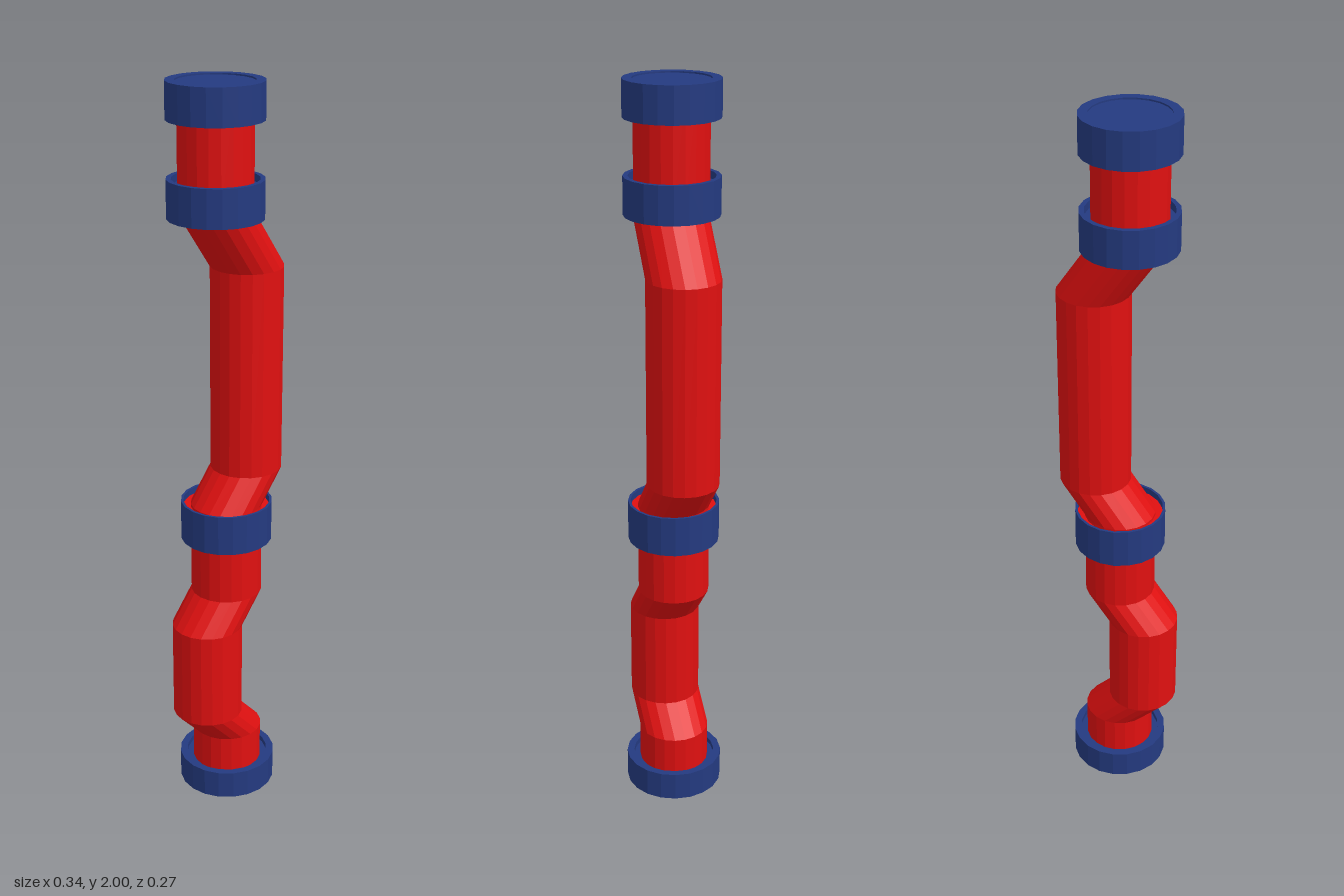
import * as THREE from 'three';

const SIDES = 20;
const PIPE_R = 0.097;

// Faceted copy of a geometry
function faceted(geo) {
  const g = geo.index ? geo.toNonIndexed() : geo;
  g.computeVertexNormals();
  return g;
}

// Vertical pipe whose level rings follow a path of [x, y, z] centres, bottom to top
function offsetPipe(path) {
  const n = path.length - 1;
  const geo = new THREE.CylinderGeometry(PIPE_R, PIPE_R, 1, SIDES, n);
  const p = geo.attributes.position;
  for (let i = 0; i < p.count; i++) {
    const [x, y, z] = path[Math.round((p.getY(i) + 0.5) * n)];
    p.setXYZ(i, p.getX(i) + x, y, p.getZ(i) + z);
  }
  return faceted(geo);
}

// Collar with a shallow recess in its top and bottom
function collar(r, bore, height, topRecess, bottomRecess) {
  const pts = [
    [0, bottomRecess], [bore, bottomRecess], [bore, 0], [r, 0],
    [r, height], [bore, height], [bore, height - topRecess], [0, height - topRecess],
  ].map(([x, y]) => new THREE.Vector2(x, y));
  return faceted(new THREE.LatheGeometry(pts, SIDES));
}

export function createModel() {
  const model = new THREE.Group();
  model.name = 'pipe';
  const red = new THREE.MeshStandardMaterial({ color: 0xe01010 });
  red.name = 'red';
  const blue = new THREE.MeshStandardMaterial({ color: 0x243a80 });
  blue.name = 'blue';

  const add = (name, geo, mat, x = 0, y = 0, z = 0) => {
    const mesh = new THREE.Mesh(geo, mat);
    mesh.name = name;
    mesh.position.set(x, y, z);
    model.add(mesh);
  };

  // Lower pipe jogs to -x, upper pipe jogs to +x
  add('lowerPipe', offsetPipe([
    [0, 0.03, 0], [0, 0.17, 0], [-0.075, 0.25, 0],
    [-0.075, 0.525, 0], [-0.002, 0.612, 0], [-0.002, 0.862, 0],
  ]), red);
  add('upperPipe', offsetPipe([
    [-0.002, 0.80, 0], [-0.002, 0.87, 0], [0.072, 0.96, 0],
    [0.072, 1.52, 0], [-0.032, 1.67, -0.002], [-0.032, 1.70, -0.006],
  ]), red);
  add('topPipe', offsetPipe([[-0.032, 1.69, -0.006], [-0.032, 1.96, -0.006]]), red);

  // Red seat inside the middle collar
  add('pipeSeat', faceted(new THREE.CylinderGeometry(0.117, 0.117, 0.01, SIDES)), red, -0.002, 0.857);

  // Blue collars and end caps
  add('baseCollar', collar(0.135, 0.115, 0.08, 0.015, 0.004), blue);
  add('middleCollar', collar(0.124, 0.117, 0.11, 0.025, 0.02), blue, -0.002, 0.77);
  add('upperCollar', collar(0.125, 0.112, 0.1, 0.02, 0.02), blue, -0.032, 1.66, -0.007);
  add('topCap', collar(0.125, 0.1, 0.095, 0.004, 0.015), blue, -0.032, 1.905, -0.007);

  return model;
}
